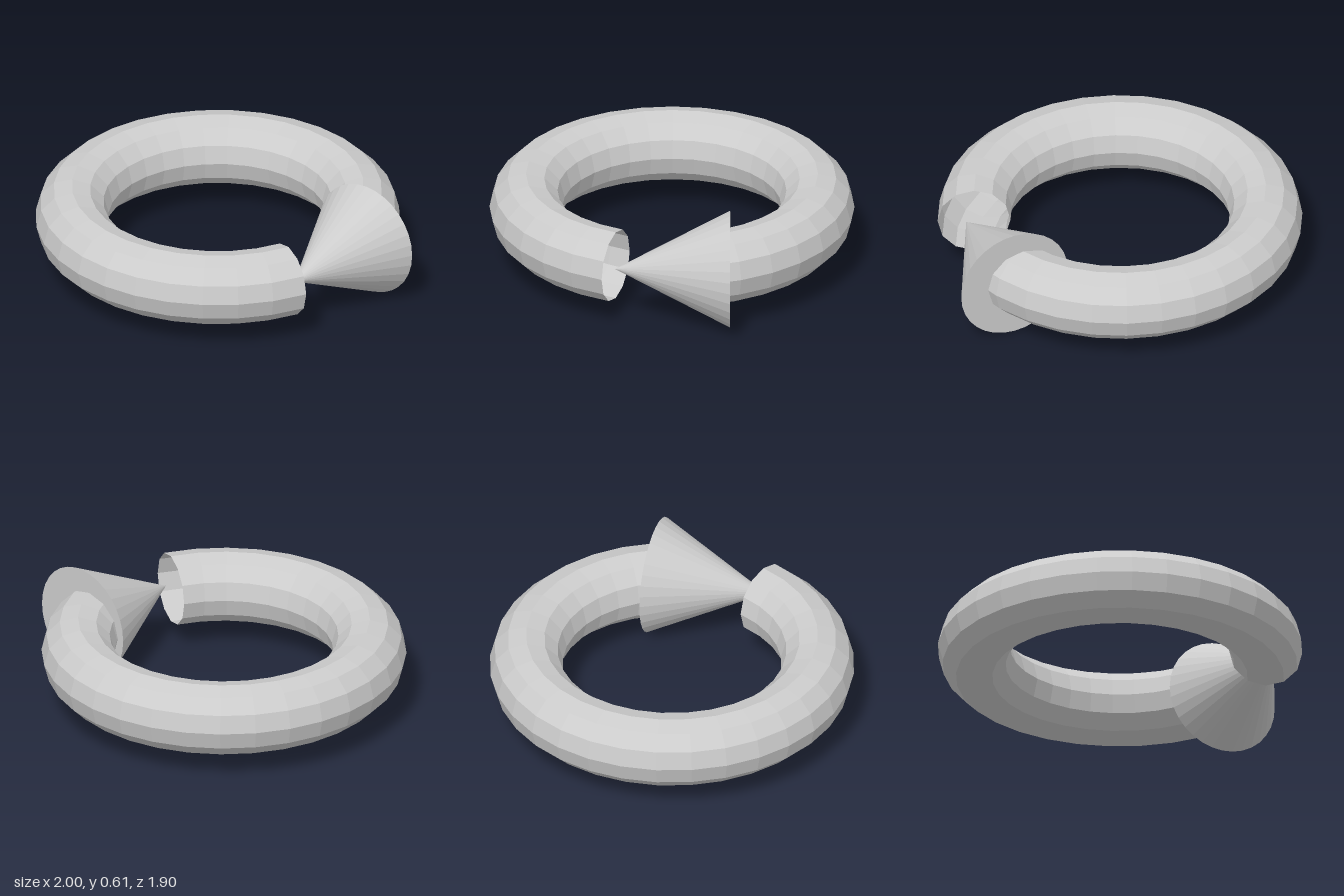
import * as THREE from 'three';

const STEP = Math.PI / 16; // one ring segment
const CENTRE_Y = 0.305;

export function createModel() {
  const group = new THREE.Group();
  const material = new THREE.MeshStandardMaterial({ color: 0xcccccc, flatShading: true });
  const openMaterial = material.clone();
  openMaterial.side = THREE.DoubleSide;

  // Open-ended tube bent into a ring, its hidden end tucked inside the arrow head
  const ring = new THREE.TorusGeometry(0.76, 0.19, 12, 29, 29 * STEP);
  ring.rotateX(Math.PI / 2);
  ring.rotateY(-2 * STEP);
  const shaft = new THREE.Mesh(ring, openMaterial);
  shaft.name = 'ringShaft';
  shaft.position.set(-0.05, CENTRE_Y, 0);
  group.add(shaft);

  // Cone pointing forward across the gap
  const cone = new THREE.ConeGeometry(0.305, 0.6, 32);
  cone.rotateX(Math.PI / 2);
  const head = new THREE.Mesh(cone, material);
  head.name = 'arrowHead';
  head.position.set(0.695, CENTRE_Y, -0.005);
  group.add(head);

  return group;
}
